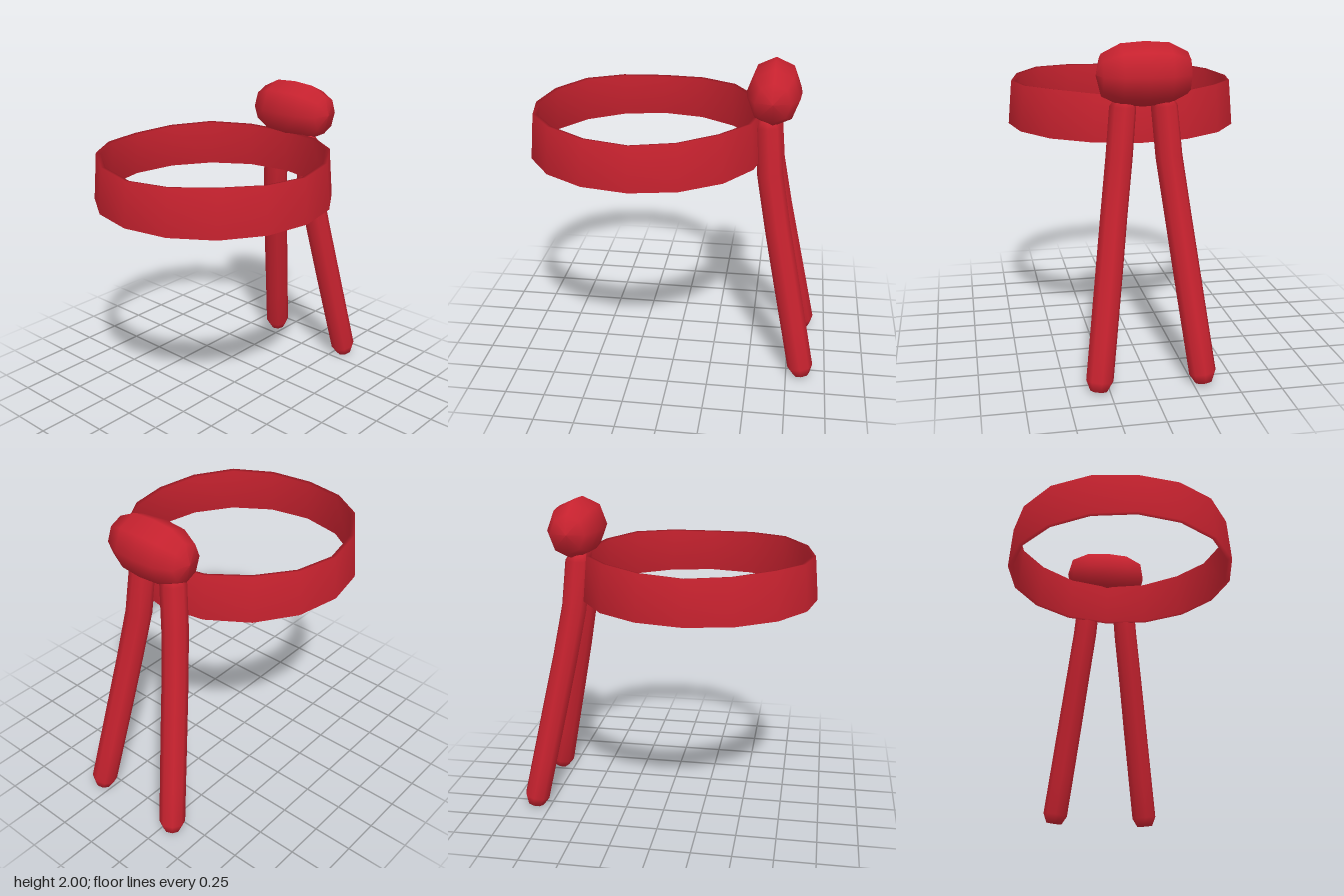
import * as THREE from 'three';
import { mergeVertices } from 'three/addons/utils/BufferGeometryUtils.js';

// Skin a list of point rings into one smooth surface; wrap joins the last ring to the first
function loft(rings, wrap) {
  const n = rings[0].length, m = rings.length, index = [];
  for (let i = 0; i < (wrap ? m : m - 1); i++) {
    for (let j = 0; j < n; j++) {
      const i2 = (i + 1) % m, j2 = (j + 1) % n;
      const a = i * n + j, b = i * n + j2, c = i2 * n + j2, d = i2 * n + j;
      index.push(a, d, b, b, d, c);
    }
  }
  const g = new THREE.BufferGeometry().setFromPoints(rings.flat());
  g.setIndex(index);
  const merged = mergeVertices(g, 1e-5);
  merged.computeVertexNormals();
  return merged;
}

// Thin leaning band, 16 sides, with a gently wavy top edge
function bandGeometry() {
  const rings = [];
  for (let i = 0; i < 16; i++) {
    const t = (i / 16) * Math.PI * 2;
    const top = 1.692 - 0.009 * Math.cos(4 * t);
    const profile = [[0.727, 1.41], [0.703, top], [0.675, top - 0.005], [0.697, 1.41]];
    rings.push(profile.map(([r, y]) =>
      new THREE.Vector3(r * Math.sin(t), y, 0.19 + (r + 0.01) * Math.cos(t))));
  }
  return loft(rings, true);
}

// Hanging tail with chamfered, closed ends; side is +1 or -1
function tailGeometry(side) {
  const path = new THREE.CatmullRomCurve3([
    [0.118, 1.67, -0.56], [0.14, 1.4, -0.578], [0.19, 1.0, -0.648],
    [0.24, 0.6, -0.73], [0.315, 0.015, -0.85],
  ].map(([x, y, z]) => new THREE.Vector3(side * x, y, z)));
  const stations = [[0, 0], [0, 0.05], [0.025, 0.079], [0.2, 0.08], [0.4, 0.08],
    [0.6, 0.081], [0.8, 0.081], [0.965, 0.081], [1, 0.052], [1, 0]];
  const rings = stations.map(([s, r]) => {
    const p = path.getPointAt(s), t = path.getTangentAt(s);
    const u = new THREE.Vector3().crossVectors(t, new THREE.Vector3(0, 0, 1)).normalize();
    const v = new THREE.Vector3().crossVectors(u, t);
    return Array.from({ length: 8 }, (_, j) => {
      const a = (j / 8) * Math.PI * 2;
      return p.clone().addScaledVector(u, r * Math.cos(a)).addScaledVector(v, r * Math.sin(a));
    });
  });
  return loft(rings, false);
}

export function createModel() {
  const group = new THREE.Group();
  const red = new THREE.MeshStandardMaterial({ color: 0xc8222f });
  red.name = 'red cloth';
  const add = (name, geometry) => {
    const mesh = new THREE.Mesh(geometry, red);
    mesh.name = name;
    group.add(mesh);
    return mesh;
  };

  add('headband', bandGeometry());

  // Eight-sided knot lying along x
  const profile = [[0, -0.28], [0.12, -0.25], [0.175, -0.14], [0.185, 0],
    [0.175, 0.14], [0.12, 0.25], [0, 0.28]].map(([r, y]) => new THREE.Vector2(r, y));
  const knot = new THREE.LatheGeometry(profile, 8);
  knot.rotateZ(Math.PI / 2);
  knot.scale(1, 1, 0.9);
  add('knot', knot).position.set(0, 1.815, -0.588);

  add('leftTail', tailGeometry(1));
  add('rightTail', tailGeometry(-1));
  return group;
}
